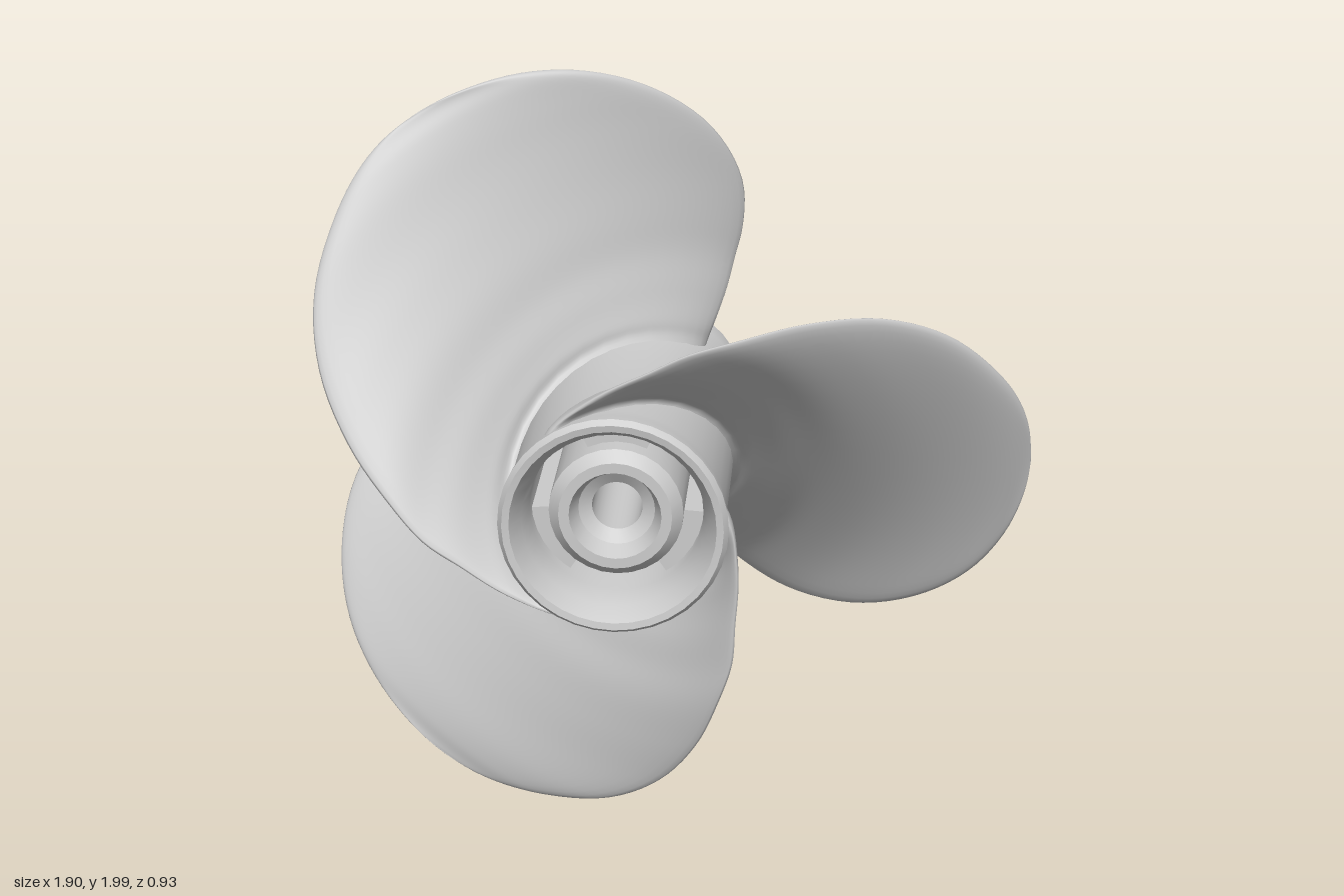
import * as THREE from 'three';
import { toCreasedNormals, mergeVertices } from 'three/addons/utils/BufferGeometryUtils.js';

const RAD = Math.PI / 180;
const V = (x, y, z = 0) => new THREE.Vector3(x, y, z);

// Blade stations: radius, trailing angle, leading angle, trailing z, leading z
const STATIONS = [
  [0.25, -73, 136, -0.33, 0.42],
  [0.29, -71, 125, -0.35, 0.425],
  [0.33, -69, 102, -0.36, 0.43],
  [0.40, -66, 81, -0.40, 0.43],
  [0.49, -62, 68, -0.44, 0.425],
  [0.58, -59, 57, -0.455, 0.395],
  [0.70, -53.5, 47, -0.44, 0.335],
  [0.83, -44, 37, -0.375, 0.25],
  [0.93, -33.5, 27.5, -0.295, 0.165],
  [1.00, -23.5, 18, -0.22, 0.075],
  [1.04, -14.5, 11.5, -0.16, 0.015],
  [1.06, -6, 6, -0.10, -0.025],
  [1.066, 0, 0, -0.06, -0.06],
];

// Closed blade skin: twisted, slightly cupped sections wrapped around the shaft axis
function bladeGeometry() {
  const curve = (f) => new THREE.CatmullRomCurve3(STATIONS.map(f), false, 'catmullrom', 0.5);
  const plan = curve((s) => V(s[0], s[1] * RAD, s[2] * RAD));
  const rake = curve((s) => V(s[3], s[4]));
  const rows = 60, half = 24, loop = half * 2;
  const pos = [], index = [];
  for (let i = 0; i <= rows; i++) {
    const { x: r, y: a0, z: a1 } = plan.getPoint(i / rows);
    const { x: z0, y: z1 } = rake.getPoint(i / rows);
    const chord = r * (a1 - a0), rise = z1 - z0;
    const len = Math.hypot(chord, rise) || 1;
    // thicker root fillet, thin rounded tip
    const tip = Math.sqrt(Math.max(0, 1 - Math.pow(Math.min(r / 1.066, 1), 30)));
    const thick = (0.02 + 0.05 * Math.exp(-Math.max(0, r - 0.27) / 0.045)) * tip;
    for (let j = 0; j < loop; j++) {
      const c = Math.cos((j / half) * Math.PI);
      const u = (1 - c) / 2;
      const h = (j < half ? 1 : -1) * thick * Math.sqrt(Math.max(0, 1 - Math.pow(c, 8)));
      const a = a0 + (a1 - a0) * u - (h * rise) / len / r;
      const cup = 0.01 * len * (1 - c * c);
      pos.push(r * Math.cos(a), r * Math.sin(a), z0 + rise * u + (h * chord) / len - cup);
      if (i < rows) {
        const k = (j + 1) % loop;
        const p = i * loop + j, q = i * loop + k;
        index.push(p, p + loop, q + loop, p, q + loop, q);
      }
    }
  }
  const g = new THREE.BufferGeometry();
  g.setAttribute('position', new THREE.Float32BufferAttribute(pos, 3));
  g.setIndex(index);
  const merged = mergeVertices(g, 1e-5);
  merged.computeVertexNormals();
  return merged;
}

// Ring turned about the z axis; profile pairs are [radius, z], outside going forward
function turned(profile, sides) {
  const pts = [...profile, profile[0]].map(([r, z]) => new THREE.Vector2(r, z));
  return toCreasedNormals(new THREE.LatheGeometry(pts, sides).rotateX(Math.PI / 2), 0.6);
}

// Annular sector joining the core to the shell
function spokeGeometry(inner, outer, spread, depth) {
  const s = new THREE.Shape();
  s.absarc(0, 0, outer, -spread / 2, spread / 2, false);
  s.absarc(0, 0, inner, spread / 2, -spread / 2, true);
  const g = new THREE.ExtrudeGeometry(s, { depth, bevelEnabled: false, curveSegments: 8 });
  return g.translate(0, 0, -depth / 2);
}

export function createModel() {
  const model = new THREE.Group();
  model.name = 'propeller';
  const mat = new THREE.MeshStandardMaterial({ color: 0xcccccc });
  const rotor = new THREE.Group();
  rotor.name = 'rotor';
  rotor.position.set(-0.122, 0.992, 0);
  model.add(rotor);

  const add = (name, geometry, angle = 0) => {
    const m = new THREE.Mesh(geometry, mat);
    m.name = name;
    m.rotation.z = angle;
    rotor.add(m);
  };

  // Outer barrel with lipped ends and funnelled mouths
  add('hubShell', turned([
    [0.285, -0.463], [0.3, -0.447], [0.297, -0.39], [0.28, -0.34],
    [0.28, 0.36], [0.288, 0.41], [0.292, 0.447], [0.28, 0.463],
    [0.262, 0.46], [0.235, 0.41], [0.222, 0.34],
    [0.222, -0.34], [0.235, -0.41], [0.262, -0.46],
  ], 36));

  // Bored core with a countersunk mouth at each end
  add('hubCore', turned([
    [0.145, -0.38], [0.172, -0.35], [0.172, 0.35], [0.145, 0.38],
    [0.118, 0.38], [0.098, 0.33], [0.065, 0.31],
    [0.065, -0.31], [0.098, -0.33], [0.118, -0.38],
  ], 28));

  // Three blades and the three spokes between the slots
  const blade = bladeGeometry();
  const spoke = spokeGeometry(0.16, 0.235, 52 * RAD, 0.6);
  for (let i = 0; i < 3; i++) {
    add('blade' + (i + 1), blade, i * 120 * RAD);
    add('spoke' + (i + 1), spoke, (90 + i * 120) * RAD);
  }
  return model;
}
